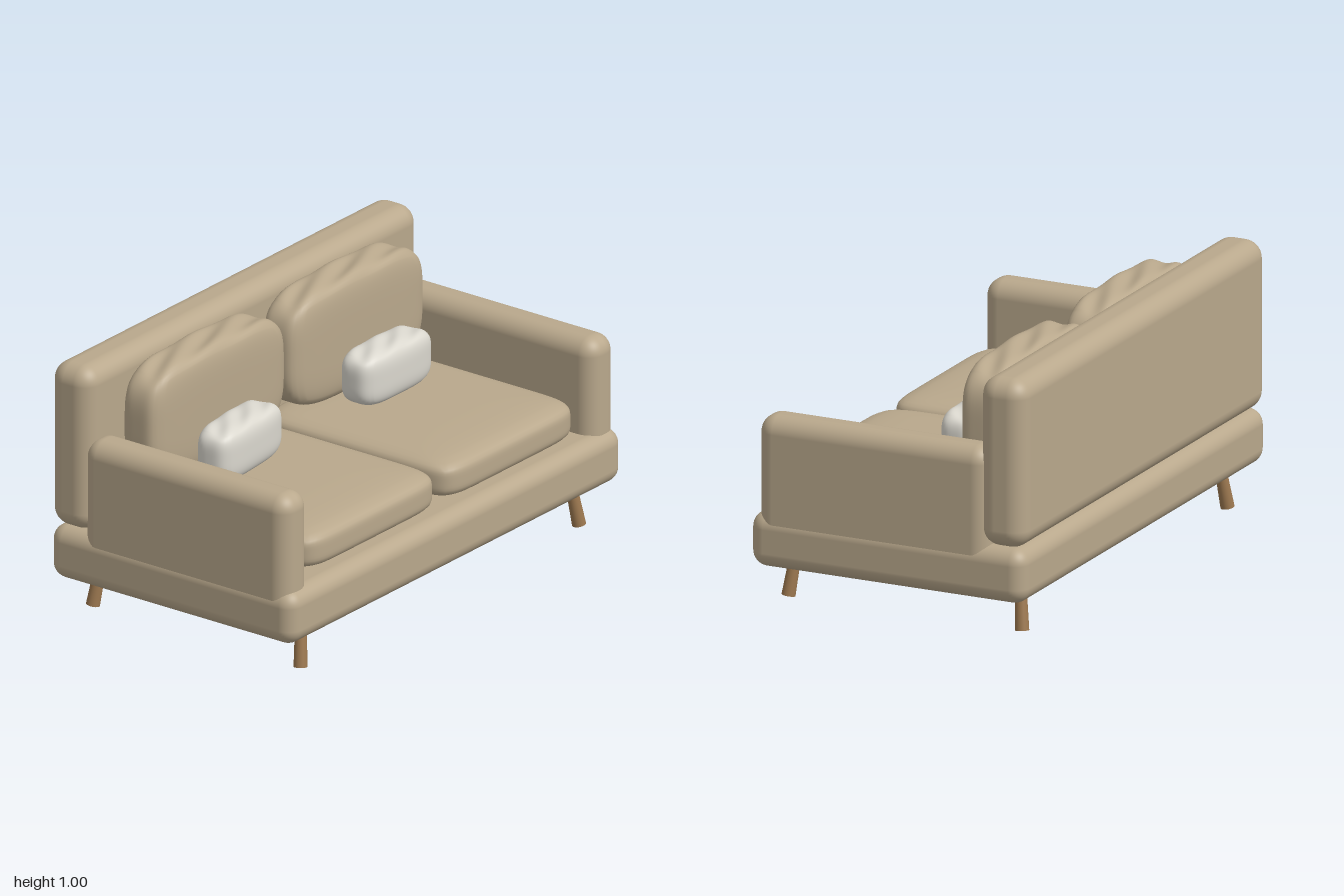
import * as THREE from 'three';
import { RoundedBoxGeometry } from 'three/addons/geometries/RoundedBoxGeometry.js';
import { mergeVertices } from 'three/addons/utils/BufferGeometryUtils.js';

const mat = (name, color) => {
  const m = new THREE.MeshStandardMaterial({ color });
  m.name = name;
  return m;
};

// Soft cushion: outline in x/y follows exponent n, edge roundness along z follows m
function cushionGeometry(w, h, d, n, m, wrinkle) {
  const g = new THREE.BoxGeometry(2, 2, 2, 36, 36, 14);
  const p = g.attributes.position;
  for (let i = 0; i < p.count; i++) {
    let x = p.getX(i), y = p.getY(i), z = p.getZ(i);
    const r = Math.pow(Math.abs(x) ** n + Math.abs(y) ** n, 1 / n);
    const s = Math.pow(r ** m + Math.abs(z) ** m, -1 / m);
    x *= s; y *= s; z *= s;
    // shallow folds along the top edge
    const top = THREE.MathUtils.smoothstep(y, 0.6, 1);
    const fold = wrinkle * top * (0.5 + 0.5 * Math.cos(9 * x + 5 * z)) * (1 - z * z);
    p.setXYZ(i, x * w / 2, y * h / 2 - fold, z * d / 2);
  }
  g.deleteAttribute('normal');
  g.deleteAttribute('uv');
  const merged = mergeVertices(g, 1e-5);
  merged.computeVertexNormals();
  return merged;
}

export function createModel() {
  const group = new THREE.Group();
  group.name = 'sofa';
  const fabric = mat('beige fabric', 0xb9a88c);
  const linen = mat('pale linen', 0xdad7ce);
  const wood = mat('wood', 0x9c7850);

  const add = (name, geometry, material, x, y, z) => {
    const mesh = new THREE.Mesh(geometry, material);
    mesh.name = name;
    mesh.position.set(x, y, z);
    group.add(mesh);
    return mesh;
  };

  // Rounded block given by its lower and upper corners
  const block = (name, a, b, radius) => add(name,
    new RoundedBoxGeometry(b[0] - a[0], b[1] - a[1], b[2] - a[2], 6, radius), fabric,
    (a[0] + b[0]) / 2, (a[1] + b[1]) / 2, (a[2] + b[2]) / 2);

  block('base', [-1, 0.145, -0.56], [1, 0.355, 0.56], 0.06);
  block('backrest', [-1, 0.355, -0.56], [1, 1, -0.373], 0.07);
  block('rightArm', [-0.996, 0.24, -0.41], [-0.842, 0.726, 0.53], 0.065);
  block('leftArm', [0.842, 0.24, -0.41], [0.996, 0.726, 0.53], 0.065);

  const seat = cushionGeometry(0.81, 0.885, 0.165, 9, 5, 0);
  const back = cushionGeometry(0.81, 0.465, 0.19, 3.8, 5, 0.015);
  const pillow = cushionGeometry(0.42, 0.215, 0.17, 4, 3.5, 0.01);
  const up = new THREE.Vector3(0, 1, 0);

  for (const s of [-1, 1]) {
    const side = s > 0 ? 'left' : 'right';
    // cushions
    add(side + 'SeatCushion', seat, fabric, s * 0.415, 0.434, 0.06).rotation.x = -Math.PI / 2;
    add(side + 'BackCushion', back, fabric, s * 0.416, 0.743, -0.286);
    add(side + 'Pillow', pillow, linen, s * 0.44, 0.617, -0.105).rotation.y = s < 0 ? 0.09 : 0;

    // splayed legs
    for (const f of [-1, 1]) {
      const foot = new THREE.Vector3(s * 0.835, 0.004, f * 0.476);
      const top = new THREE.Vector3(s * 0.809, 0.17, f * 0.457);
      const axis = top.clone().sub(foot);
      const mid = foot.clone().add(top).multiplyScalar(0.5);
      const leg = add(side + (f > 0 ? 'Front' : 'Rear') + 'Leg',
        new THREE.CylinderGeometry(0.021, 0.026, axis.length(), 24), wood, mid.x, mid.y, mid.z);
      leg.quaternion.setFromUnitVectors(up, axis.normalize());
    }
  }
  return group;
}
